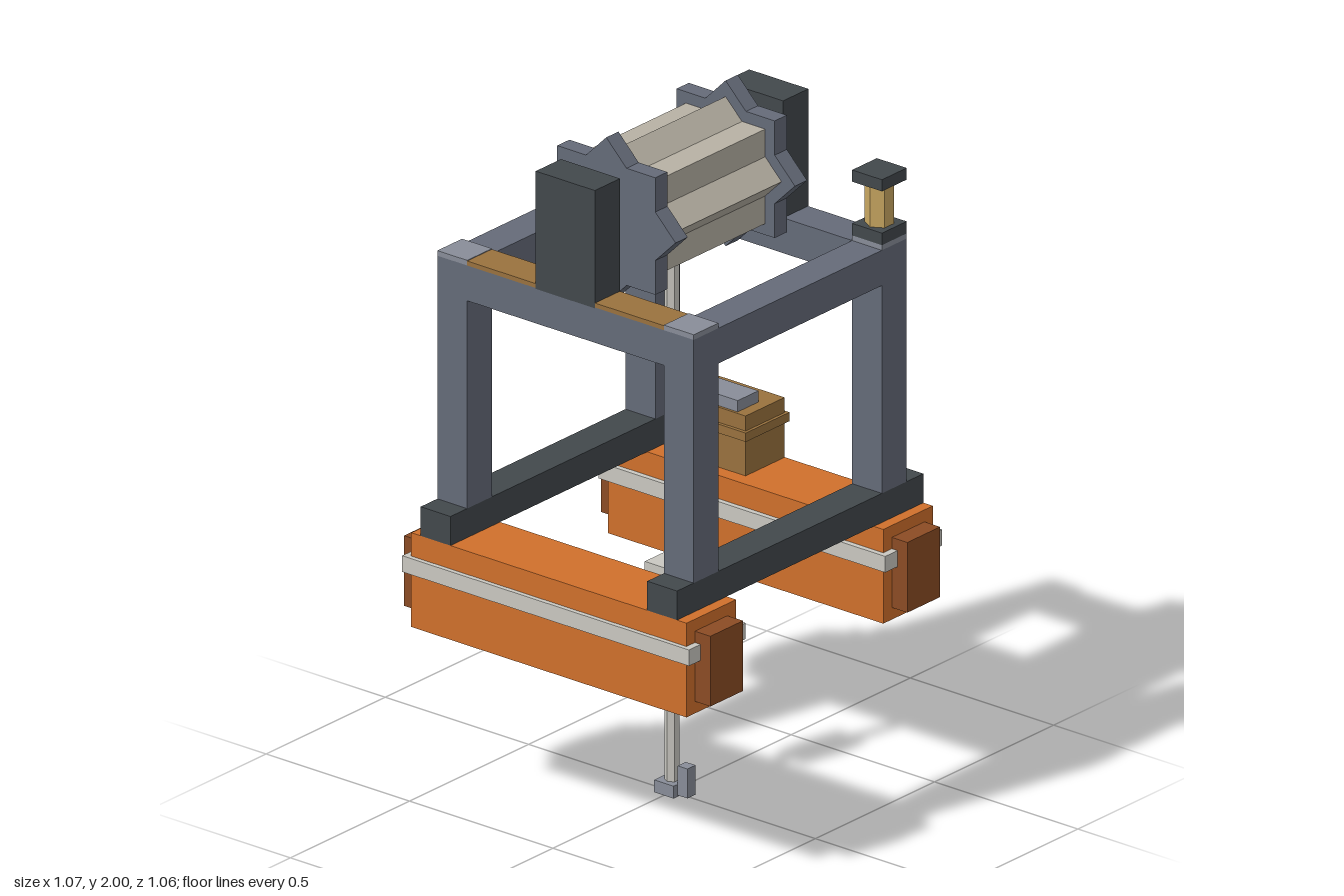
import * as THREE from 'three';

const mat = (name, color) => {
  const m = new THREE.MeshStandardMaterial({ color });
  m.name = name;
  return m;
};

export function createModel() {
  const orange = mat('orange', 0xd0702c);
  const rust = mat('rust', 0x8c4c24);
  const pale = mat('paleGrey', 0xcac8c1);
  const dark = mat('darkSteel', 0x42484c);
  const slate = mat('slate', 0x656b79);
  const lightSlate = mat('lightSlate', 0x888d98);
  const wood = mat('wood', 0x9a723e);
  const beige = mat('beige', 0xb7b1a4);
  const gold = mat('gold', 0xcaa862);
  const red = mat('red', 0xc9504e);

  const model = new THREE.Group();
  model.name = 'floatingWinchFrame';

  const add = (parent, name, geometry, material) => {
    const mesh = new THREE.Mesh(geometry, material);
    mesh.name = name;
    parent.add(mesh);
    return mesh;
  };
  const group = (name) => {
    const g = new THREE.Group();
    g.name = name;
    model.add(g);
    return g;
  };
  // Box given by its limits on each axis
  const box = (parent, name, material, [x0, x1], [y0, y1], [z0, z1]) => {
    const mesh = add(parent, name, new THREE.BoxGeometry(x1 - x0, y1 - y0, z1 - z0), material);
    mesh.position.set((x0 + x1) / 2, (y0 + y1) / 2, (z0 + z1) / 2);
    return mesh;
  };
  // Faceted six-sided rod
  const hexRod = (parent, name, material, r, y0, y1, x = 0, z = 0) => {
    const geo = new THREE.CylinderGeometry(r, r, y1 - y0, 6).toNonIndexed();
    geo.computeVertexNormals();
    add(parent, name, geo, material).position.set(x, (y0 + y1) / 2, z);
  };
  // Eight-pointed star prism: a square and a diamond of the same size merged
  const star = (parent, name, material, half, z0, z1) => {
    const tip = half * Math.SQRT2, notch = half * (Math.SQRT2 - 1);
    const inner = Math.hypot(half, notch);
    const pts = [];
    for (let i = 0; i < 16; i++) {
      const a = (i * Math.PI) / 8, r = i % 2 ? inner : tip;
      pts.push(new THREE.Vector2(r * Math.cos(a), r * Math.sin(a)));
    }
    const geo = new THREE.ExtrudeGeometry(new THREE.Shape(pts), { depth: z1 - z0, bevelEnabled: false });
    add(parent, name, geo, material).position.set(0, 1.76, z0);
  };

  const IN = 0.343, OUT = 0.447; // inner and outer limits of posts and rails
  const span = (s, a, b) => (s > 0 ? [a, b] : [-b, -a]);

  // Floats with end caps and a rubbing strip
  for (const s of [1, -1]) {
    const g = group(s > 0 ? 'frontFloat' : 'backFloat');
    box(g, 'hull', orange, [-0.48, 0.48], [0.52, 0.795], span(s, 0.309, 0.517));
    box(g, 'rubbingStrip', pale, [-0.5, 0.5], [0.68, 0.727], span(s, 0.293, 0.531));
    for (const e of [1, -1])
      box(g, 'endCap', rust, span(e, 0.48, 0.534), [0.555, 0.76], span(s, 0.345, 0.482));
  }

  // Frame: base beams, posts, rails and corner plates
  const frame = group('frame');
  for (const sx of [1, -1]) {
    const x = span(sx, IN, OUT);
    box(frame, 'baseBeam', dark, x, [0.795, 0.88], [-0.517, 0.517]);
    box(frame, 'sideRail', slate, x, [1.487, 1.59], [-IN, IN]);
    for (const sz of [1, -1]) {
      const z = span(sz, IN, OUT);
      box(frame, 'post', slate, x, [0.88, 1.487], z);
      box(frame, 'cornerPlate', lightSlate, x, [1.59, 1.605], z);
    }
  }
  for (const sz of [1, -1])
    box(frame, 'crossRail', slate, [-OUT, OUT], [1.487, 1.59], span(sz, IN, OUT));
  box(frame, 'walkPlank', wood, [-IN, IN], [1.59, 1.603], [IN, OUT]);

  // Winch: bearing blocks, axle, flanges and drum
  const winch = group('winch');
  for (const s of [1, -1]) {
    box(winch, 'bearingBlock', dark, [-0.103, 0.103], [1.588, 1.932], span(s, IN - 0.001, OUT + 0.001));
    box(winch, 'axle', lightSlate, [-0.034, 0.034], [1.726, 1.794], span(s, 0.275, IN));
    star(winch, 'flange', slate, 0.171, ...span(s, 0.225, 0.276));
  }
  star(winch, 'drum', beige, 0.138, -0.225, 0.225);

  // Hanging line with weight and hook
  const line = group('hoistLine');
  hexRod(line, 'cable', pale, 0.02, 0.03, 1.65);
  box(line, 'weightTop', pale, [-0.052, 0.052], [0.622, 0.675], [-0.052, 0.052]);
  box(line, 'weightBottom', red, [-0.052, 0.052], [0.52, 0.622], [-0.052, 0.052]);
  box(line, 'hookBase', lightSlate, [-0.034, 0.034], [0, 0.036], [-0.034, 0.034]);
  box(line, 'hookTip', lightSlate, [0.034, 0.068], [0.004, 0.09], [-0.017, 0.017]);

  // Crate on the back float
  const crate = group('crate');
  box(crate, 'crateBody', wood, [-0.275, -0.036], [0.795, 0.97], [-0.516, -0.352]);
  box(crate, 'crateBand', wood, [-0.284, -0.027], [0.9, 0.926], [-0.526, -0.342]);
  box(crate, 'crateLid', lightSlate, [-0.241, -0.07], [0.97, 1.003], [-0.447, -0.36]);

  // Lantern on the back left corner
  const lantern = group('lantern');
  box(lantern, 'lanternBase', dark, [IN, OUT], [1.605, 1.64], [-OUT, -IN]);
  hexRod(lantern, 'lanternLight', gold, 0.04, 1.64, 1.762, 0.395, -0.395);
  box(lantern, 'lanternCap', dark, [IN, OUT], [1.762, 1.796], [-OUT, -IN]);

  return model;
}
